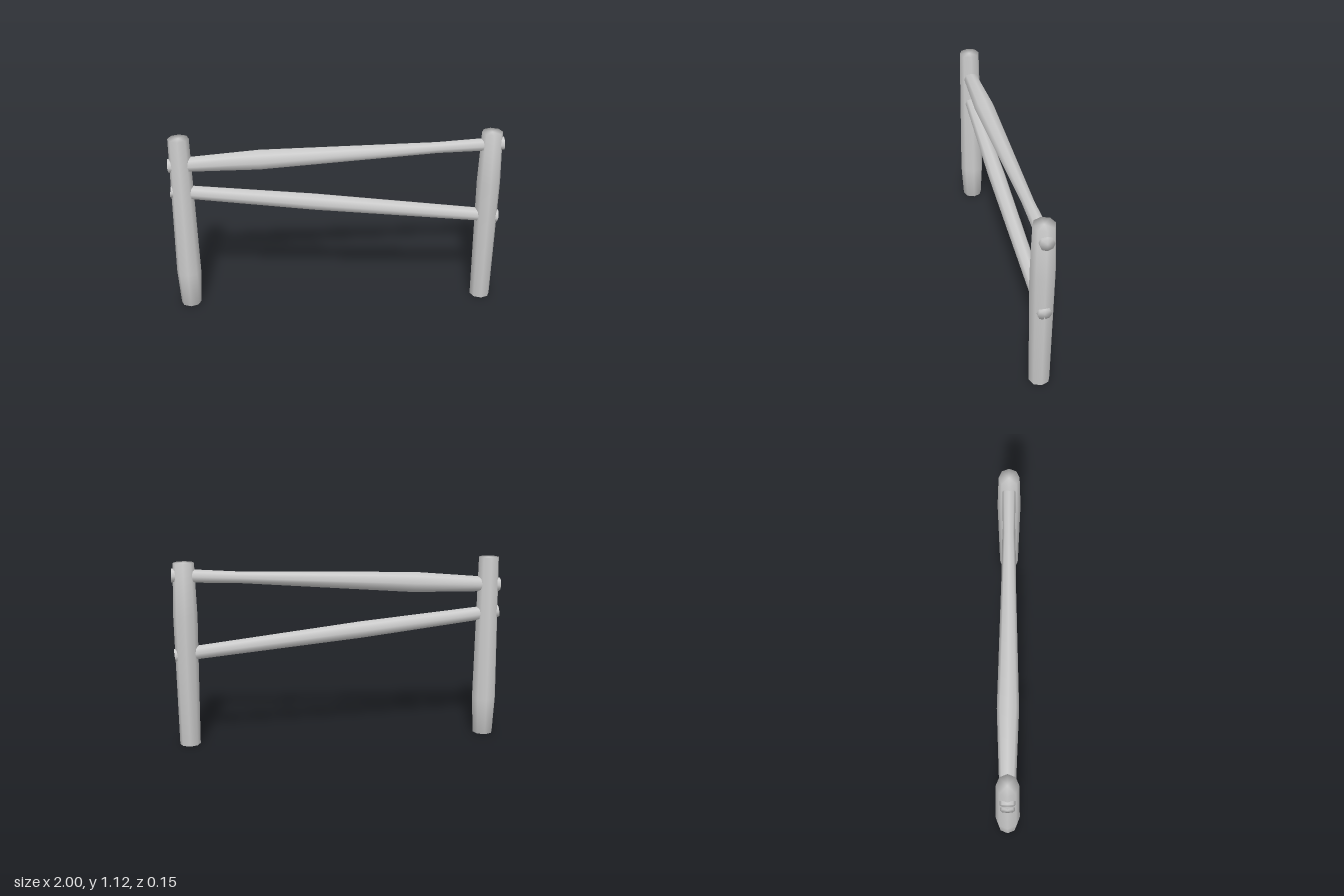
import * as THREE from 'three';

const SIDES = 8;
const material = new THREE.MeshStandardMaterial({ color: 0xcccccc });

// Closed, smooth log along +y; stations are [height, radius] from bottom to top
function log(name, stations) {
  const points = stations.map(([h, r]) => new THREE.Vector2(r, h));
  points.unshift(new THREE.Vector2(0, stations[0][0]));
  points.push(new THREE.Vector2(0, stations[stations.length - 1][0]));
  const mesh = new THREE.Mesh(new THREE.LatheGeometry(points, SIDES), material);
  mesh.name = name;
  return mesh;
}

// Upright post with a single bulge
function post(name, x, bulgeHeight, bulgeRadius) {
  const mesh = log(name, [[0, 0.0625], [bulgeHeight, bulgeRadius], [1.125, 0.0625]]);
  mesh.position.x = x;
  return mesh;
}

// Sloping rail between two points; stations are [fraction of length, radius]
function rail(name, [x0, y0], [x1, y1], stations) {
  const length = Math.hypot(x1 - x0, y1 - y0);
  const mesh = log(name, stations.map(([t, r]) => [t * length, r]));
  mesh.position.set(x0, y0, 0);
  mesh.rotation.z = Math.atan2(y1 - y0, x1 - x0) - Math.PI / 2;
  return mesh;
}

export function createModel() {
  const fence = new THREE.Group();
  fence.name = 'fence';
  fence.add(
    post('rightPost', -0.925, 0.23, 0.075),
    post('leftPost', 0.925, 0.8, 0.072),
    // Rails pass through the posts and poke out slightly
    rail('upperRail', [-0.997, 0.953], [0.998, 1.051],
      [[0, 0.042], [0.27, 0.0625], [0.8, 0.035], [1, 0.042]]),
    rail('lowerRail', [-0.994, 0.788], [0.996, 0.563],
      [[0, 0.041], [0.43, 0.052], [1, 0.041]]),
  );
  return fence;
}
